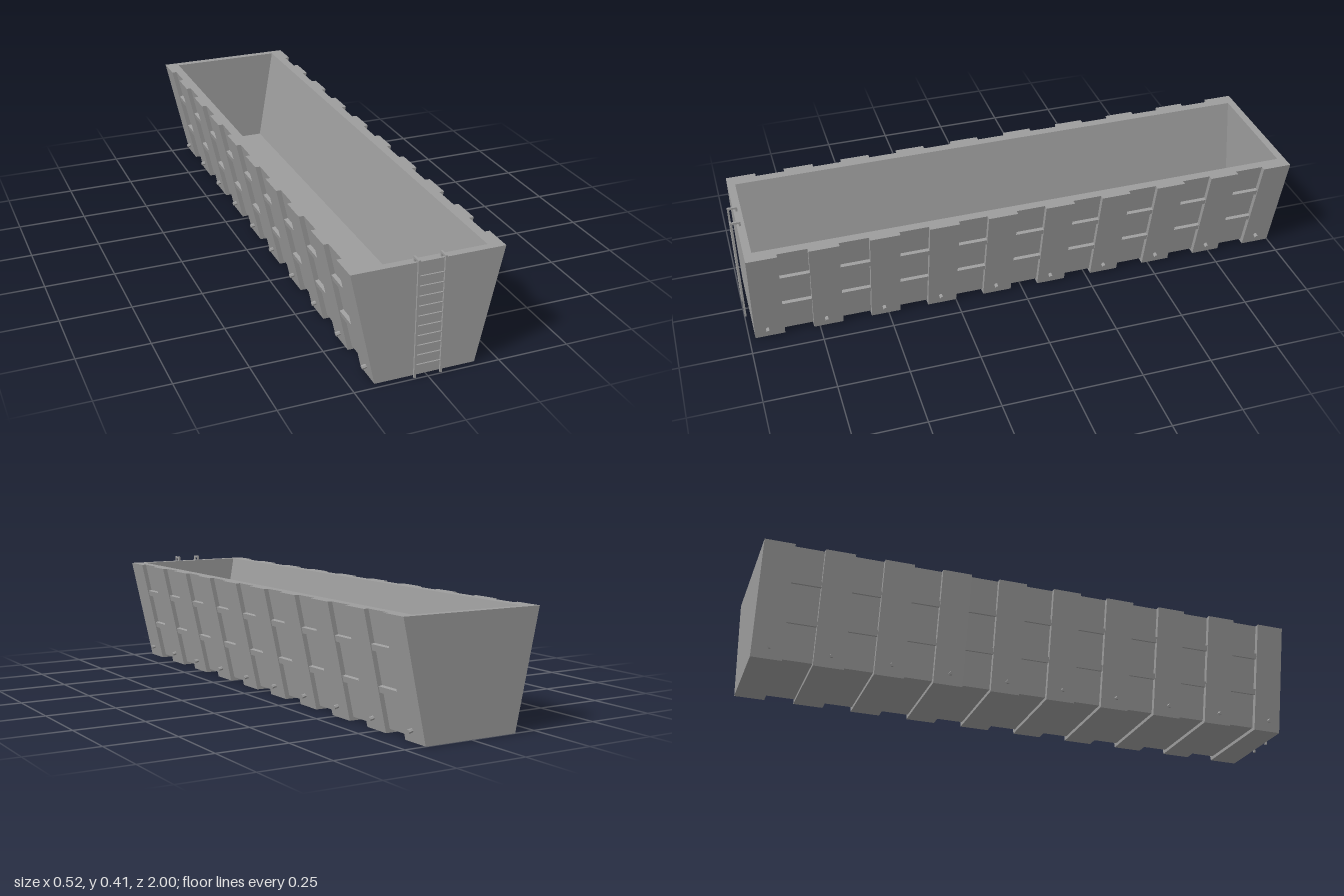
import * as THREE from 'three';

const H = 0.398, BASE = 0.173, SLOPE = 0.2185; // height, half width at the ground, side flare
const RECESS = 0.017, FLOOR = 0.03;            // depth between ribs, cavity floor height
const FRONT = 0.979, BACK = -1, WALL = 0.027;  // ends of the hull, end wall thickness
const RIBS = 10, RIB_W = 0.105;
const PITCH = (FRONT - BACK - RIB_W) / (RIBS - 1);
const LEAN = Math.atan(SLOPE);
const wallX = (y, inset = 0) => BASE + SLOPE * y - inset;

export function createModel() {
  const model = new THREE.Group();
  const mat = new THREE.MeshStandardMaterial({ color: 0x9d9d9d, flatShading: true });

  function add(name, geometry, x = 0, y = 0, z = 0, parent = model) {
    const mesh = new THREE.Mesh(geometry, mat);
    mesh.name = name;
    mesh.position.set(x, y, z);
    parent.add(mesh);
    return mesh;
  }

  // Cross-section extruded from z0 to z1; hollow sections are open at the top
  function section(name, z0, z1, inset, bottom, hollow) {
    const top = wallX(H, inset), low = wallX(bottom, inset);
    const pts = [[-top, H], [-low, bottom], [low, bottom], [top, H]];
    if (hollow) pts.push([0.21, H], [0.148, FLOOR], [-0.148, FLOOR], [-0.21, H]);
    const shape = new THREE.Shape(pts.map(p => new THREE.Vector2(...p)));
    const geo = new THREE.ExtrudeGeometry(shape, { depth: z1 - z0, bevelEnabled: false });
    return add(name, geo, 0, 0, z0);
  }

  // Solid end walls
  section('frontWall', FRONT - WALL, FRONT, 0, 0, false);
  section('backWall', BACK, BACK + WALL, 0, 0, false);

  for (let i = 0; i < RIBS; i++) {
    const z1 = FRONT - i * PITCH, z0 = z1 - RIB_W, zm = (z0 + z1) / 2;
    // Rib wrapping the sides and bottom
    section('rib', Math.max(z0, BACK + WALL), Math.min(z1, FRONT - WALL), 0, 0, true);

    // Small pins low on each rib
    for (const s of [-1, 1]) {
      const pin = add('pin', new THREE.CylinderGeometry(0.007, 0.007, 0.022, 6),
        s * (wallX(0.04) + 0.004), 0.039, zm + 0.006);
      pin.rotation.z = -s * (Math.PI / 2 + LEAN);
    }
    if (i === RIBS - 1) continue;

    // Recessed panel with two horizontal stiffeners per side
    const next = z0 - (PITCH - RIB_W);
    section('recessedPanel', next, z0, RECESS, 0.012, true);
    for (const s of [-1, 1]) for (const y of [0.145, 0.28]) {
      const bar = add('stiffener', new THREE.BoxGeometry(0.026, 0.021, z0 - next),
        s * wallX(y, RECESS), y, (z0 + next) / 2);
      bar.rotation.z = -s * LEAN;
    }
  }

  // Ladder with rails hooked over the front rim
  const ladder = new THREE.Group();
  ladder.name = 'ladder';
  model.add(ladder);
  const T = 0.007, TOP = 0.415, RAIL_Z = 1 - T / 2, HOOK_Z = 0.968;
  for (const x of [-0.045, 0.045]) {
    add('ladderRail', new THREE.BoxGeometry(T, TOP - 0.003, T), x, (TOP + 0.003) / 2, RAIL_Z, ladder);
    add('railHook', new THREE.BoxGeometry(T, T, RAIL_Z - HOOK_Z), x, TOP - T / 2, (RAIL_Z + HOOK_Z) / 2, ladder);
    add('railHookEnd', new THREE.BoxGeometry(T, TOP - H, T), x, (TOP + H) / 2, HOOK_Z, ladder);
  }
  for (let i = 0; i < 10; i++) {
    add('rung', new THREE.BoxGeometry(0.09, 0.003, 0.005), 0, 0.047 + i * 0.0347, RAIL_Z, ladder);
  }
  return model;
}
